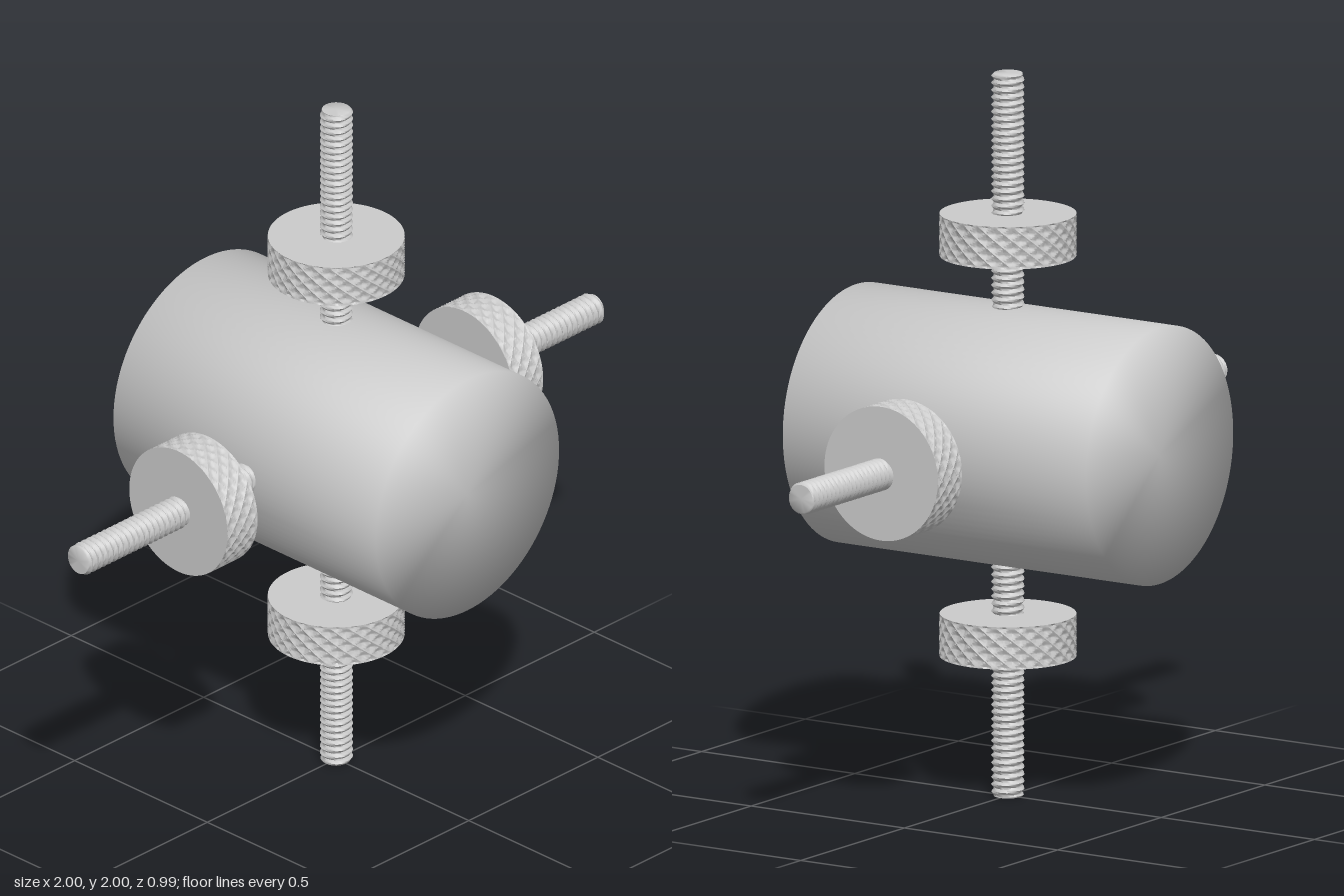
import * as THREE from 'three';
import { toCreasedNormals } from 'three/addons/utils/BufferGeometryUtils.js';

const material = new THREE.MeshStandardMaterial({ color: 0xcccccc });

// Triangle wave: 0 at whole numbers, 1 halfway between
const wave = (t) => 1 - Math.abs(2 * (t - Math.floor(t)) - 1);

// Capped turned solid whose wall radius follows radius(turn, y), turn in 0..1
function turned(y0, y1, rows, segments, radius, crease) {
  const points = [new THREE.Vector2(0, y0)];
  for (let i = 0; i <= rows; i++) points.push(new THREE.Vector2(1, y0 + ((y1 - y0) * i) / rows));
  points.push(new THREE.Vector2(0, y1));
  const geometry = new THREE.LatheGeometry(points, segments);
  const pos = geometry.attributes.position;
  for (let s = 0; s <= segments; s++) {
    const turn = (s % segments) / segments;
    const angle = turn * Math.PI * 2;
    for (let j = 1; j <= rows + 1; j++) {
      const k = s * points.length + j;
      const r = radius(turn, pos.getY(k));
      pos.setX(k, Math.sin(angle) * r);
      pos.setZ(k, Math.cos(angle) * r);
    }
  }
  geometry.deleteAttribute('uv');
  return toCreasedNormals(geometry, crease);
}

function mesh(name, geometry) {
  const m = new THREE.Mesh(geometry, material);
  m.name = name;
  return m;
}

export function createModel() {
  const model = new THREE.Group();
  model.name = 'spindleHub';

  // Hub: short drum along z, normals blended softly over its rims
  const R = 0.355, H = 0.495;
  const profile = [[0, -H], [R, -H], [R, H], [0, H]].map(([x, y]) => new THREE.Vector2(x, y));
  const hub = mesh('hub', new THREE.LatheGeometry(profile, 96));
  hub.rotation.x = Math.PI / 2;
  hub.position.y = 1;
  model.add(hub);

  // Threaded rod: helical ridge, slightly chamfered at the tip
  const pitch = 0.02;
  const rodGeometry = turned(0.3, 1, 175, 24, (turn, y) => {
    const r = 0.037 + 0.009 * wave(y / pitch - turn);
    return Math.min(r, 0.039 + (1 - y));
  }, 1.1);

  // Thumb nut: rim knurled by two crossing sets of helical ridges
  const n0 = 0.495, n1 = 0.612;
  const nutGeometry = turned(n0, n1, 24, 192, (turn, y) => {
    const u = turn * 24;
    const v = ((y - n0) / (n1 - n0)) * 3;
    const ridge = Math.max(wave(u + v), wave(u - v));
    const edge = y < n0 + 0.001 || y > n1 - 0.001;
    return edge ? 0.185 : 0.178 + 0.008 * ridge;
  }, 0.9);

  // Four identical arms around the hub
  ['top', 'left', 'bottom', 'right'].forEach((side, i) => {
    const arm = new THREE.Group();
    arm.name = side + 'Arm';
    arm.add(mesh('threadedRod', rodGeometry), mesh('knurledNut', nutGeometry));
    arm.position.y = 1;
    arm.rotation.z = (-i * Math.PI) / 2;
    model.add(arm);
  });
  return model;
}
